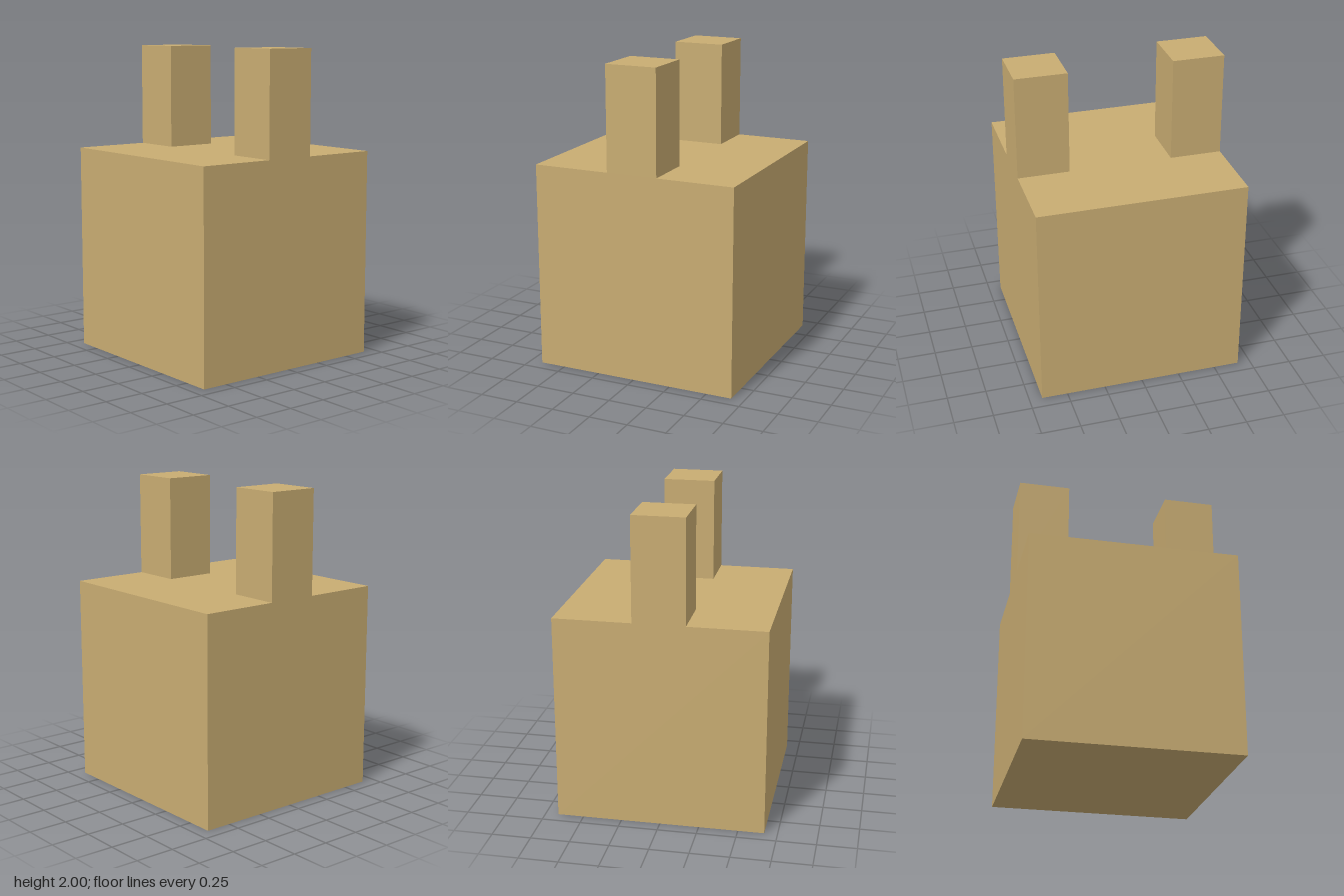
import * as THREE from 'three';

const UNIT = 1 / 3; // post width; the block is four units wide

export function createModel() {
  const model = new THREE.Group();
  const material = new THREE.MeshStandardMaterial({ color: 0xc8ac72, flatShading: true });

  // Box standing on the given height
  const addBox = (name, width, height, depth, bottom, z) => {
    const mesh = new THREE.Mesh(new THREE.BoxGeometry(width, height, depth), material);
    mesh.name = name;
    mesh.position.set(0, bottom + height / 2, z);
    model.add(mesh);
  };

  // Cube body
  addBox('block', 4 * UNIT, 4 * UNIT, 4 * UNIT, 0, 0);

  // Upright posts, flush with the front and back faces
  for (const [name, side] of [['frontPost', 1], ['backPost', -1]]) {
    addBox(name, UNIT, 2 * UNIT, UNIT, 4 * UNIT, side * 1.5 * UNIT);
  }

  return model;
}
